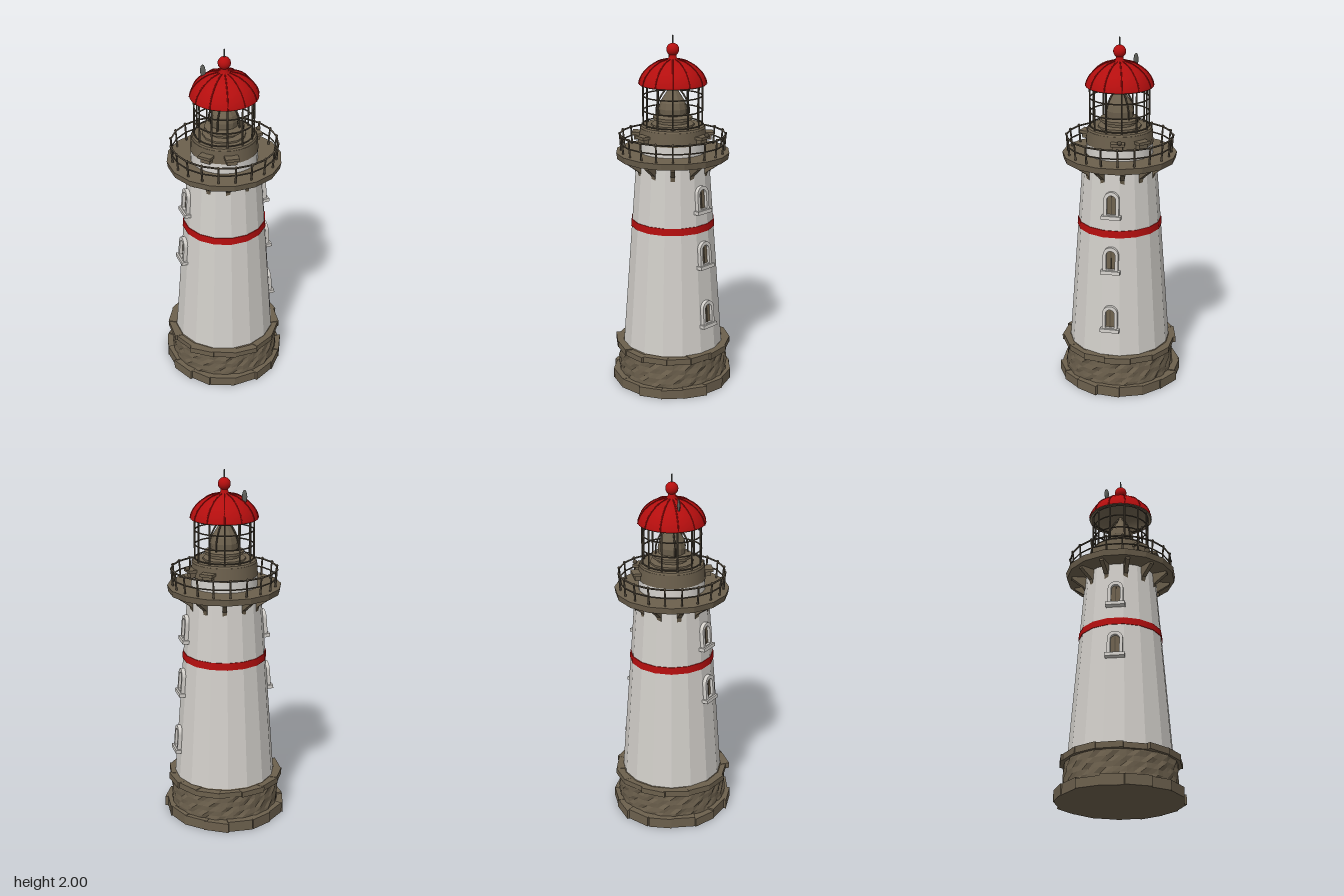
import * as THREE from 'three';

const mat = (name, color) => Object.assign(new THREE.MeshStandardMaterial({ color }), { name });

export function createModel() {
  const root = new THREE.Group();
  root.name = 'lighthouse';
  const stone = mat('stone', 0x6c604d);
  const white = mat('whitewash', 0xd2cfca);
  const red = mat('red paint', 0xb50e0e);
  const iron = mat('iron', 0x544b3d);
  const steel = mat('grey metal', 0x5e5f5a);
  const rough = stone.clone();
  rough.name = 'rough stone';
  rough.flatShading = true;
  const wall = white.clone();
  wall.name = 'faceted whitewash';
  wall.flatShading = true;

  let seed = 11;
  const rnd = () => (seed = (seed * 16807) % 2147483647) / 2147483647;
  const add = (name, geo, m, parent = root, x = 0, y = 0, z = 0) => {
    const mesh = new THREE.Mesh(geo, m);
    mesh.name = name;
    mesh.position.set(x, y, z);
    parent.add(mesh);
    return mesh;
  };
  // upright frustum between two heights
  const drum = (name, rTop, rBot, y0, y1, m, seg = 16, parent = root) =>
    add(name, new THREE.CylinderGeometry(rTop, rBot, y1 - y0, seg, 1, false, Math.PI / seg), m, parent, 0, (y0 + y1) / 2);
  // group whose local +z points outward at the given angle
  const spoke = (name, a, parent = root) => {
    const g = new THREE.Group();
    g.name = name;
    g.rotation.y = a;
    parent.add(g);
    return g;
  };
  const around = (n, name, fn) => {
    const g = new THREE.Group();
    g.name = name;
    root.add(g);
    for (let i = 0; i < n; i++) fn(spoke(name + 'Piece', (i / n) * Math.PI * 2, g), i);
  };
  const ring = (name, r, y, tube, m, seg) =>
    add(name, new THREE.TorusGeometry(r, tube, 6, seg).rotateX(Math.PI / 2).rotateY(Math.PI / 2), m, root, 0, y);

  // Rubble foundation: lumpy wall between a plinth and a cap of uneven slabs
  const rubble = new THREE.CylinderGeometry(0.307, 0.312, 0.2, 56, 7);
  const p = rubble.attributes.position;
  for (let i = 0; i < p.count; i++) {
    const x = p.getX(i), y = p.getY(i), z = p.getZ(i), a = Math.atan2(x, z);
    const bump = Math.sin(9 * a + 40 * y) * Math.sin(60 * y + 5 * a) + 0.6 * Math.sin(23 * a - 55 * y);
    const k = 1 + 0.018 * bump;
    p.setXYZ(i, x * k, y, z * k);
  }
  rubble.computeVertexNormals();
  add('rubbleWall', rubble, rough, root, 0, 0.12);
  drum('plinthCore', 0.325, 0.33, 0, 0.05, rough, 16);
  drum('capCore', 0.285, 0.318, 0.2, 0.24, rough, 16);
  const slabs = (name, n, r, y, h, depth, jitter) => around(n, name, (g) => {
    const w = (2 * Math.PI * r / n) * (0.97 + rnd() * 0.12);
    const hh = h * (0.85 + rnd() * 0.2);
    const s = add(name + 'Slab', new THREE.BoxGeometry(w, hh, depth), rough, g, 0, y + hh / 2, r - depth / 2 + (rnd() - 0.5) * 0.012);
    s.rotation.y = (rnd() - 0.5) * jitter;
  });
  slabs('plinth', 16, 0.34, 0, 0.06, 0.07, 0.3);
  slabs('cap', 15, 0.322, 0.2, 0.036, 0.05, 0.22);

  // Tapered tower and its painted band
  const towerR = (y) => 0.306 - 0.076 * y;
  drum('tower', towerR(1.34), towerR(0.22), 0.22, 1.34, wall);
  drum('redBand', towerR(0.975) + 0.004, towerR(0.935) + 0.004, 0.935, 0.975, red);

  // Arched windows on two opposite sides
  const arch = (C, w, bottom, top) => {
    const s = new C();
    s.moveTo(-w, bottom);
    s.lineTo(w, bottom);
    s.lineTo(w, top - w);
    s.absarc(0, top - w, w, 0, Math.PI, false);
    s.lineTo(-w, bottom);
    return s;
  };
  const frame = arch(THREE.Shape, 0.043, -0.06, 0.078);
  frame.holes.push(arch(THREE.Path, 0.025, -0.05, 0.058));
  const frameGeo = new THREE.ExtrudeGeometry(frame, { depth: 0.03, bevelEnabled: false, curveSegments: 8 }).translate(0, 0, -0.008);
  const paneGeo = new THREE.ShapeGeometry(arch(THREE.Shape, 0.027, -0.055, 0.06), 8);
  const addWindow = (a, y) => {
    const g = new THREE.Group();
    g.name = 'window';
    g.position.y = y;
    add('windowFrame', frameGeo, white, g);
    add('windowPane', paneGeo, stone, g, 0, 0, 0.005);
    add('windowMullion', new THREE.BoxGeometry(0.005, 0.1, 0.005), iron, g, 0, 0, 0.007);
    add('windowSill', new THREE.BoxGeometry(0.108, 0.02, 0.045), white, g, 0, -0.066, 0.01);
    g.position.z = towerR(y) * 0.981;
    g.rotation.x = -0.076;
    spoke('windowSide', a).add(g);
  };
  [1.12, 0.805, 0.46].forEach((y) => addWindow(Math.PI * 0.75, y));
  [1.12, 0.805].forEach((y) => addWindow(-Math.PI * 0.25, y));

  // Gallery deck on brackets
  drum('galleryDeck', 0.318, 0.312, 1.325, 1.36, rough);
  const bracket = new THREE.Shape([[0.18, 1.225], [0.208, 1.235], [0.215, 1.262], [0.285, 1.313], [0.285, 1.33], [0.18, 1.33]]
    .map(([x, y]) => new THREE.Vector2(x, y)));
  const bracketGeo = new THREE.ExtrudeGeometry(bracket, { depth: 0.024, bevelEnabled: false })
    .translate(0, 0, -0.012).rotateY(-Math.PI / 2);
  around(12, 'bracket', (g) => add('bracketArm', bracketGeo, stone, g));

  // Gallery railing
  around(20, 'railing', (g) => {
    const post = add('railPost', new THREE.CylinderGeometry(0.005, 0.006, 0.105, 6), iron, g, 0, 1.407, 0.29);
    post.rotation.x = 0.08;
    add('postKnob', new THREE.SphereGeometry(0.008, 6, 5), iron, g, 0, 1.458, 0.295);
  });
  ring('topRail', 0.294, 1.455, 0.005, iron, 20);
  ring('middleRail', 0.29, 1.407, 0.004, iron, 20);

  // Watch room: white below, stone lantern base above
  drum('watchRoom', 0.183, 0.186, 1.355, 1.425, white, 24);
  drum('lanternBase', 0.182, 0.187, 1.42, 1.495, stone, 24);
  drum('lanternSill', 0.175, 0.182, 1.49, 1.505, stone, 24);
  [-0.08, 0.62, 2.5, 3.2].forEach((a) => {
    const g = spoke('ventHood', a);
    add('hoodSlab', new THREE.BoxGeometry(0.075, 0.016, 0.06), stone, g, 0, 1.46, 0.195);
    add('hoodBlock', new THREE.BoxGeometry(0.055, 0.03, 0.035), stone, g, 0, 1.44, 0.195);
  });
  add('hoodKnob', new THREE.SphereGeometry(0.013, 8, 6), iron, root, 0.125, 1.475, -0.185);

  // Lantern cage
  around(12, 'cage', (g) => add('cageBar', new THREE.CylinderGeometry(0.005, 0.005, 0.25, 6), iron, g, 0, 1.62, 0.163));
  [1.515, 1.59, 1.67, 1.735].forEach((y) => ring('cageRing', 0.163, y, 0.004, iron, 24));

  // Stepped lamp and lens inside
  const V = (a) => a.map(([x, y]) => new THREE.Vector2(x, y));
  add('lamp', new THREE.LatheGeometry(V([[0.12, 1.5], [0.12, 1.515], [0.085, 1.52], [0.085, 1.535], [0.11, 1.54], [0.11, 1.555],
    [0.075, 1.565], [0.078, 1.6], [0.07, 1.635], [0.045, 1.675], [0.022, 1.71], [0.012, 1.745], [0, 1.75]]), 12), rough);
  around(4, 'lampFrame', (g) => {
    const curve = new THREE.CatmullRomCurve3([[0.088, 1.55], [0.088, 1.61], [0.06, 1.675], [0.012, 1.735]]
      .map(([r, y]) => new THREE.Vector3(0, y, r)));
    add('lampRib', new THREE.TubeGeometry(curve, 8, 0.005, 5), iron, g);
  });

  // Domed roof with ribs, lining, ball and spike
  const dome = [[0.186, 1.735], [0.184, 1.748], [0.172, 1.778], [0.15, 1.808], [0.118, 1.836], [0.08, 1.857], [0.03, 1.87]];
  add('roof', new THREE.LatheGeometry(V([...dome, [0.022, 1.875], [0.02, 1.9]]), 36), red);
  add('roofLining', new THREE.LatheGeometry(V([...dome.map(([r, y]) => [r * 0.965, y - 0.005]).reverse(), [0.186, 1.735]]), 36), stone);
  const ribCurve = new THREE.CatmullRomCurve3(dome.map(([r, y]) => new THREE.Vector3(0, y, r)));
  const ribGeo = new THREE.TubeGeometry(ribCurve, 14, 0.0035, 5);
  around(12, 'roofRibs', (g) => add('roofRib', ribGeo, red, g));
  add('roofBall', new THREE.SphereGeometry(0.035, 20, 14), red, root, 0, 1.922);
  add('spike', new THREE.CylinderGeometry(0.003, 0.005, 0.055, 8), steel, root, 0, 1.9725);

  // Small vane standing on the roof
  add('vaneStem', new THREE.CylinderGeometry(0.004, 0.004, 0.05, 6), steel, root, -0.117, 1.835, 0.015);
  add('vaneBody', new THREE.SphereGeometry(1, 10, 8).scale(0.016, 0.036, 0.008), steel, root, -0.117, 1.86, 0.015);

  return root;
}
